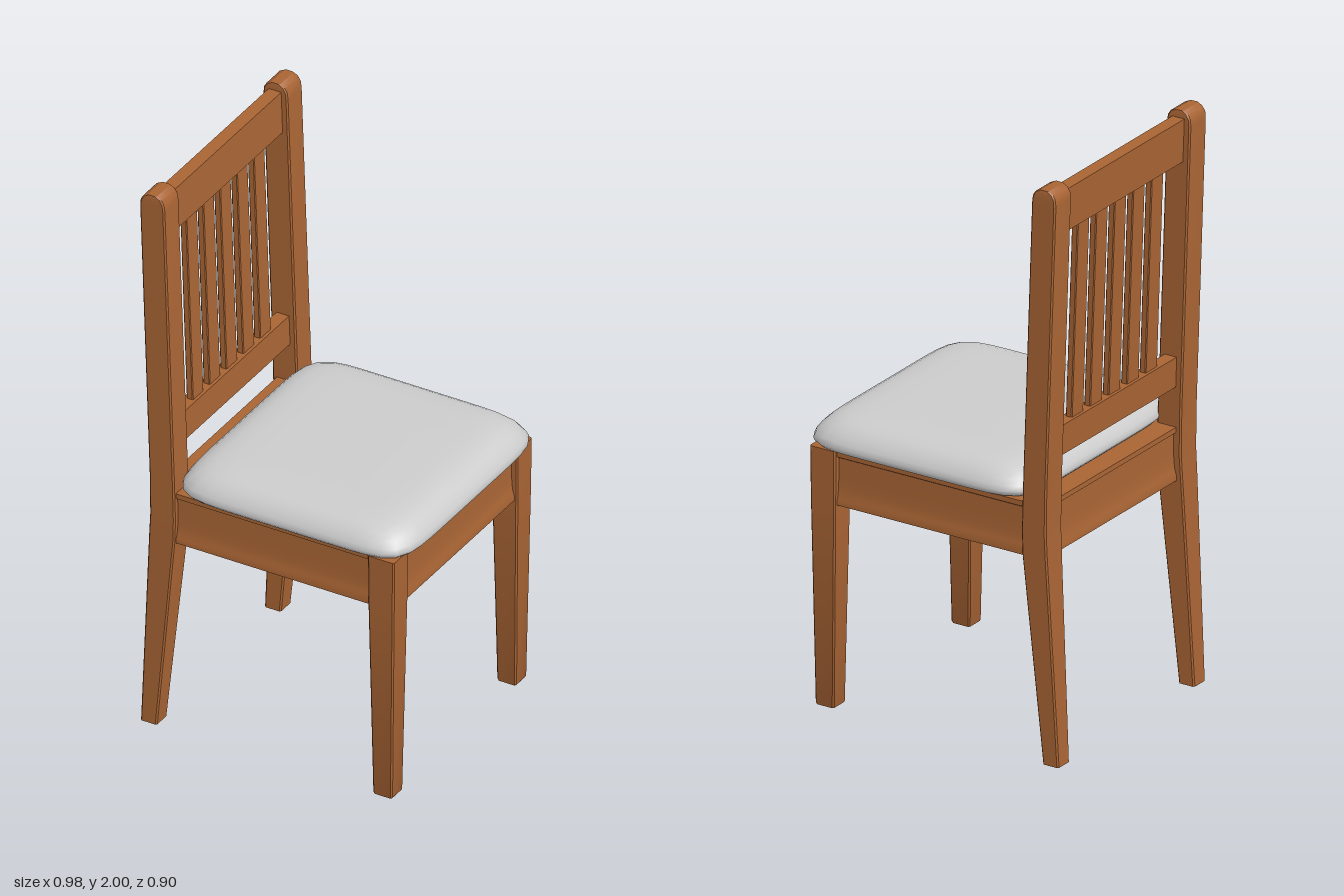
import * as THREE from 'three';
import { toCreasedNormals } from 'three/addons/utils/BufferGeometryUtils.js';

const wood = new THREE.MeshStandardMaterial({ color: 0xa86434 });
const fabric = new THREE.MeshStandardMaterial({ color: 0xcccccc });

// Closed skin through horizontal rings of points, listed from bottom to top
function loft(rings, crease) {
  const n = rings[0].length;
  const pos = rings.flat().flatMap((p) => p.toArray());
  const idx = [];
  for (let i = 0; i < rings.length - 1; i++) {
    for (let j = 0; j < n; j++) {
      const a = i * n + j, b = i * n + (j + 1) % n;
      idx.push(a, a + n, b, b, a + n, b + n);
    }
  }
  for (const top of [false, true]) {
    const ring = top ? rings[rings.length - 1] : rings[0];
    const start = top ? (rings.length - 1) * n : 0;
    const c = new THREE.Vector3();
    ring.forEach((p) => c.addScaledVector(p, 1 / n));
    const k = pos.length / 3;
    pos.push(c.x, c.y, c.z);
    for (let j = 0; j < n; j++) {
      const p = start + j, q = start + (j + 1) % n;
      idx.push(k, ...(top ? [q, p] : [p, q]));
    }
  }
  const g = new THREE.BufferGeometry();
  g.setAttribute('position', new THREE.Float32BufferAttribute(pos, 3));
  g.setIndex(idx);
  return toCreasedNormals(g, crease);
}

// Rectangle ring with small corner chamfers
function rectRing([y, x0, x1, z0, z1], b = 0.005) {
  return [
    [x1, z0 + b], [x1, z1 - b], [x1 - b, z1], [x0 + b, z1],
    [x0, z1 - b], [x0, z0 + b], [x0 + b, z0], [x1 - b, z0],
  ].map(([x, z]) => new THREE.Vector3(x, y, z));
}

// Square ring with softly bulging sides
function cushionRing([y, inset]) {
  const ring = [], n = 8;
  for (let j = 0; j < 72; j++) {
    const a = (j / 72) * Math.PI * 2, c = Math.cos(a), s = Math.sin(a);
    const r = Math.pow(Math.abs(c) ** n + Math.abs(s) ** n, -1 / n);
    ring.push(new THREE.Vector3(0.058 + (0.432 - inset) * r * c, y, (0.452 - inset) * r * s));
  }
  return ring;
}

export function createModel() {
  const chair = new THREE.Group();
  chair.name = 'chair';
  const add = (name, geometry, material = wood) => {
    const mesh = new THREE.Mesh(geometry, material);
    mesh.name = name;
    chair.add(mesh);
    return mesh;
  };
  const woodLoft = (sections, b) => loft(sections.map((s) => rectRing(s, b)), 0.5);

  // Rear posts: splayed foot, bent at the seat, leaning back, rounded top
  const post = [
    [0, -0.49, -0.43, 0.357, 0.423],
    [0.72, -0.453, -0.358, 0.342, 0.435],
    [0.8, -0.449, -0.356, 0.34, 0.435],
    [0.95, -0.451, -0.36, 0.34, 0.435],
    [1.95, -0.486, -0.395, 0.34, 0.435],
    [1.975, -0.484, -0.398, 0.34, 0.435],
    [1.99, -0.475, -0.407, 0.341, 0.434],
    [2, -0.458, -0.425, 0.343, 0.432],
  ];
  // Front legs: square, tapering to the foot
  const leg = [
    [0, 0.372, 0.438, 0.357, 0.423],
    [0.006, 0.37, 0.441, 0.355, 0.425],
    [0.72, 0.358, 0.453, 0.343, 0.435],
    [0.9, 0.357, 0.455, 0.341, 0.436],
  ];
  const mirror = ([y, x0, x1, z0, z1]) => [y, x0, x1, -z1, -z0];
  for (const [side, f] of [['right', (s) => s], ['left', mirror]]) {
    add(side + 'RearPost', woodLoft(post.map(f)));
    add(side + 'FrontLeg', woodLoft(leg.map(f)));
  }

  // Seat frame: shallow cove on the apron with a lip along the top
  const frame = [
    [0.71, 0.012], [0.725, 0.012], [0.745, 0.018], [0.77, 0.021], [0.8, 0.022],
    [0.872, 0.022], [0.878, 0.012], [0.896, 0.012],
  ].map(([y, d]) => [y, -0.445 + d, 0.455 - d, -0.435 + d, 0.435 - d]);
  add('seatFrame', woodLoft(frame, 0.004));

  // Seat cushion
  const cushion = [
    [0.896, 0.03], [0.901, 0.012], [0.912, 0.002], [0.922, 0], [0.937, 0.006],
    [0.955, 0.019], [0.972, 0.037], [0.985, 0.06], [0.994, 0.09],
    [0.998, 0.14], [1, 0.2], [1.001, 0.3],
  ];
  add('seatCushion', loft(cushion.map(cushionRing), 1.2), fabric);

  // Back rails and slats, following the lean of the posts
  const lean = (y) => -0.405 - 0.035 * (y - 0.95);
  const bar = (name, y0, y1, thick, z, width, shift = 0) => {
    const section = (y) => [y, lean(y) + shift - thick / 2, lean(y) + shift + thick / 2, z - width / 2, z + width / 2];
    add(name, woodLoft([section(y0), section(y1)], 0.003));
  };
  bar('topRail', 1.825, 1.975, 0.046, 0, 0.7);
  bar('lowerRail', 1.035, 1.14, 0.046, 0, 0.7);
  for (let i = -2; i <= 2; i++) bar('backSlat', 1.12, 1.85, 0.024, i * 0.106, 0.068);

  return chair;
}
